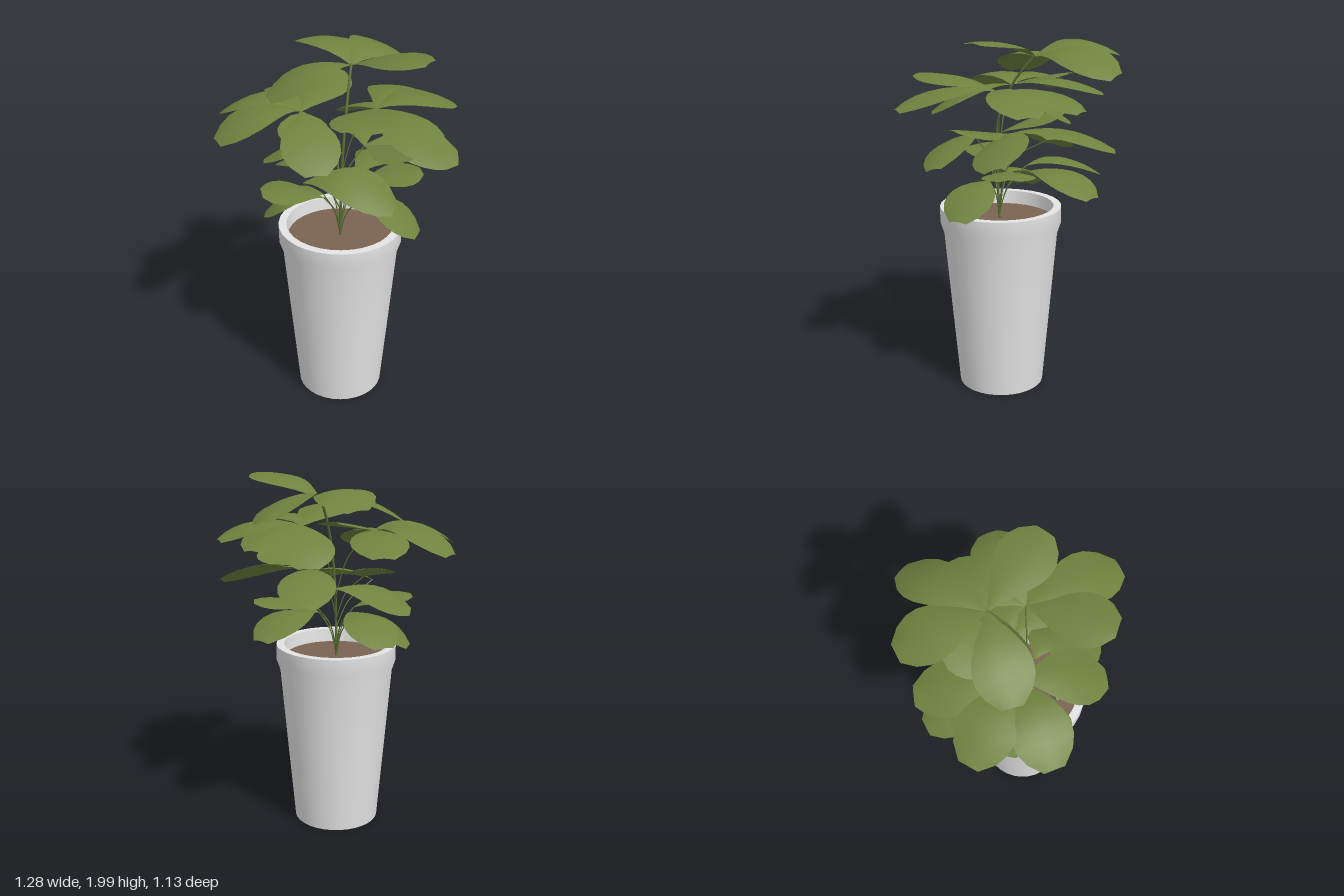
import * as THREE from 'three';

const V = (a) => new THREE.Vector3(...a);

// Half-width along a leaf: narrow base, broad shoulder, blunt tip
const WIDTHS = [0.03, 0.24, 0.48, 0.72, 0.91, 1.0, 0.97, 0.78, 0.36];
const ACROSS = [-1, -0.5, 0, 0.5, 1];

// Obovate arched blade from base to tip; lift bows it, roll tips it sideways
function leafGeometry(base, tip, lift, roll = 0, half = 0.15) {
  const mid = base.clone().lerp(tip, 0.5);
  mid.y += lift * 2;
  const curve = new THREE.QuadraticBezierCurve3(base, mid, tip);
  const dir = tip.clone().sub(base).normalize();
  const side = new THREE.Vector3(dir.z, 0, -dir.x).normalize().applyAxisAngle(dir, roll);
  const up = dir.clone().cross(side);
  const pos = [], idx = [], n = ACROSS.length;
  WIDTHS.forEach((w, i) => {
    const c = curve.getPoint(i / (WIDTHS.length - 1));
    for (const s of ACROSS) {
      const p = c.clone().addScaledVector(side, s * w * half)
        .addScaledVector(up, -0.02 * s * s * w);
      pos.push(p.x, p.y, p.z);
    }
  });
  for (let i = 0; i < WIDTHS.length - 1; i++) {
    for (let j = 0; j < n - 1; j++) {
      const a = i * n + j, b = a + 1, c = a + n, d = c + 1;
      idx.push(a, c, b, b, c, d);
    }
  }
  const g = new THREE.BufferGeometry();
  g.setAttribute('position', new THREE.Float32BufferAttribute(pos, 3));
  g.setIndex(idx);
  g.computeVertexNormals();
  return g;
}

// Each cluster: stalk start, leaf hub, then leaves [tip, lift, roll]
const CLUSTERS = [
  { name: 'crown', hub: [0.06, 1.88, -0.11], leaves: [
    [[0.44, 1.985, 0.15], 0.035, 0], [[-0.37, 1.75, 0.03], 0.06, 0],
    [[-0.17, 1.88, -0.52], 0.07, 0.1], [[0.29, 1.82, -0.54], 0.07, 0.25]] },
  { name: 'leftCluster', from: [0, 1.33, 0.09], hub: [-0.2, 1.69, 0.05], leaves: [
    [[-0.62, 1.61, 0.24], 0.08, 0], [[-0.62, 1.61, -0.17], 0.08, 0],
    [[-0.12, 1.54, 0.49], 0.05, 0], [[-0.29, 1.64, -0.45], 0.05, 0],
    [[-0.02, 1.79, -0.3], 0.01, 0]] },
  { name: 'rightCluster', from: [0.01, 1.36, 0.09], hub: [0.18, 1.71, 0.07], leaves: [
    [[0.05, 1.78, 0.52], 0.02, 0], [[0.44, 1.65, 0.54], 0.06, 0],
    [[0.6, 1.66, -0.14], 0.06, 0], [[0.37, 1.65, -0.38], 0.05, 0],
    [[0.1, 1.55, -0.3], 0.04, 0]] },
  { name: 'middleCluster', from: [0, 1.2, 0.09], hub: [0.13, 1.48, 0.02], leaves: [
    [[0.63, 1.41, 0.02], 0.05, 0.35], [[0.09, 1.4, -0.54], 0.06, 0],
    [[0.41, 1.55, 0.27], 0, 0]] },
];
// Single leaves on their own stalks: base, tip, lift, roll
const SINGLES = [
  [[-0.19, 1.38, 0.25], [0.27, 1.31, 0.4], 0.08, 0.3],
  [[-0.15, 1.43, 0.1], [-0.22, 1.55, -0.24], 0.01, 0],
  [[-0.02, 1.42, -0.17], [-0.42, 1.31, -0.16], 0.04, 0.2],
  [[0.08, 1.26, -0.06], [0.33, 1.2, -0.44], 0.07, 0],
  [[-0.08, 1.26, -0.05], [-0.3, 1.18, -0.43], 0.06, 0],
  [[-0.09, 1.21, 0.06], [-0.41, 1.07, 0], 0.06, 0],
  [[0.1, 1.21, 0.13], [0.41, 1.07, 0.25], 0.06, 0],
  [[0.1, 1.26, 0.04], [0.44, 1.31, -0.03], 0.02, 0],
  [[-0.09, 1.24, 0.15], [-0.41, 1.31, 0.22], 0.03, 0],
];

export function createModel() {
  const potMat = new THREE.MeshStandardMaterial({ color: 0xe4e4e4 });
  potMat.name = 'potGrey';
  const soilMat = new THREE.MeshStandardMaterial({ color: 0x7a6452 });
  soilMat.name = 'soilBrown';
  const leafMat = new THREE.MeshStandardMaterial({ color: 0x6f833f, side: THREE.DoubleSide });
  leafMat.name = 'leafGreen';
  const stemMat = new THREE.MeshStandardMaterial({ color: 0x5a6f35 });
  stemMat.name = 'stemGreen';

  const model = new THREE.Group();
  model.name = 'pottedPlant';
  const add = (parent, name, geo, mat) => {
    const m = new THREE.Mesh(geo, mat);
    m.name = name;
    parent.add(m);
    return m;
  };

  // Tapered pot with thick flared collar; each section is lathed alone to keep its edges crisp
  const pot = new THREE.Group();
  pot.name = 'pot';
  pot.position.z = 0.084;
  model.add(pot);
  const lathe = (name, pts) =>
    add(pot, name, new THREE.LatheGeometry(pts.map((p) => new THREE.Vector2(...p)), 32), potMat);
  lathe('potBase', [[0, 0], [0.239, 0]]);
  lathe('potWall', [[0.239, 0], [0.278, 0.45], [0.316, 0.9], [0.336, 0.96], [0.336, 1.05]]);
  lathe('potRim', [[0.336, 1.05], [0.293, 1.05]]);
  lathe('potInside', [[0.293, 1.05], [0.285, 0.94]]);
  const soil = add(pot, 'soil', new THREE.CircleGeometry(0.29, 32).rotateX(-Math.PI / 2), soilMat);
  soil.position.y = 0.975;

  // Stems
  const plant = new THREE.Group();
  plant.name = 'plant';
  model.add(plant);
  const tube = (name, pts, r) => add(plant, name,
    new THREE.TubeGeometry(new THREE.CatmullRomCurve3(pts.map(V)), 12, r, 6), stemMat);
  tube('mainStem', [[0, 0.96, 0.09], [0.005, 1.3, 0.1], [0.02, 1.55, 0.09],
    [0.04, 1.75, 0], [0.06, 1.885, -0.11]], 0.007);

  // Slender stalk rising from the stem, then leaning out to a hub
  const stalk = (from, to) => tube('stalk', [from,
    [from[0] + (to[0] - from[0]) * 0.35, from[1] + (to[1] - from[1]) * 0.6,
      from[2] + (to[2] - from[2]) * 0.35], to], 0.0035);

  // Leaf clusters
  for (const { name, from, hub, leaves } of CLUSTERS) {
    if (from) stalk(from, hub);
    const group = new THREE.Group();
    group.name = name;
    plant.add(group);
    for (const [tip, lift, roll] of leaves) {
      add(group, 'leaf', leafGeometry(V(hub), V(tip), lift, roll), leafMat);
    }
  }

  // Lower single leaves
  for (const [base, tip, lift, roll] of SINGLES) {
    stalk([0, Math.max(0.98, base[1] - 0.24), 0.09], base);
    add(plant, 'lowerLeaf', leafGeometry(V(base), V(tip), lift, roll, 0.14), leafMat);
  }
  return model;
}
